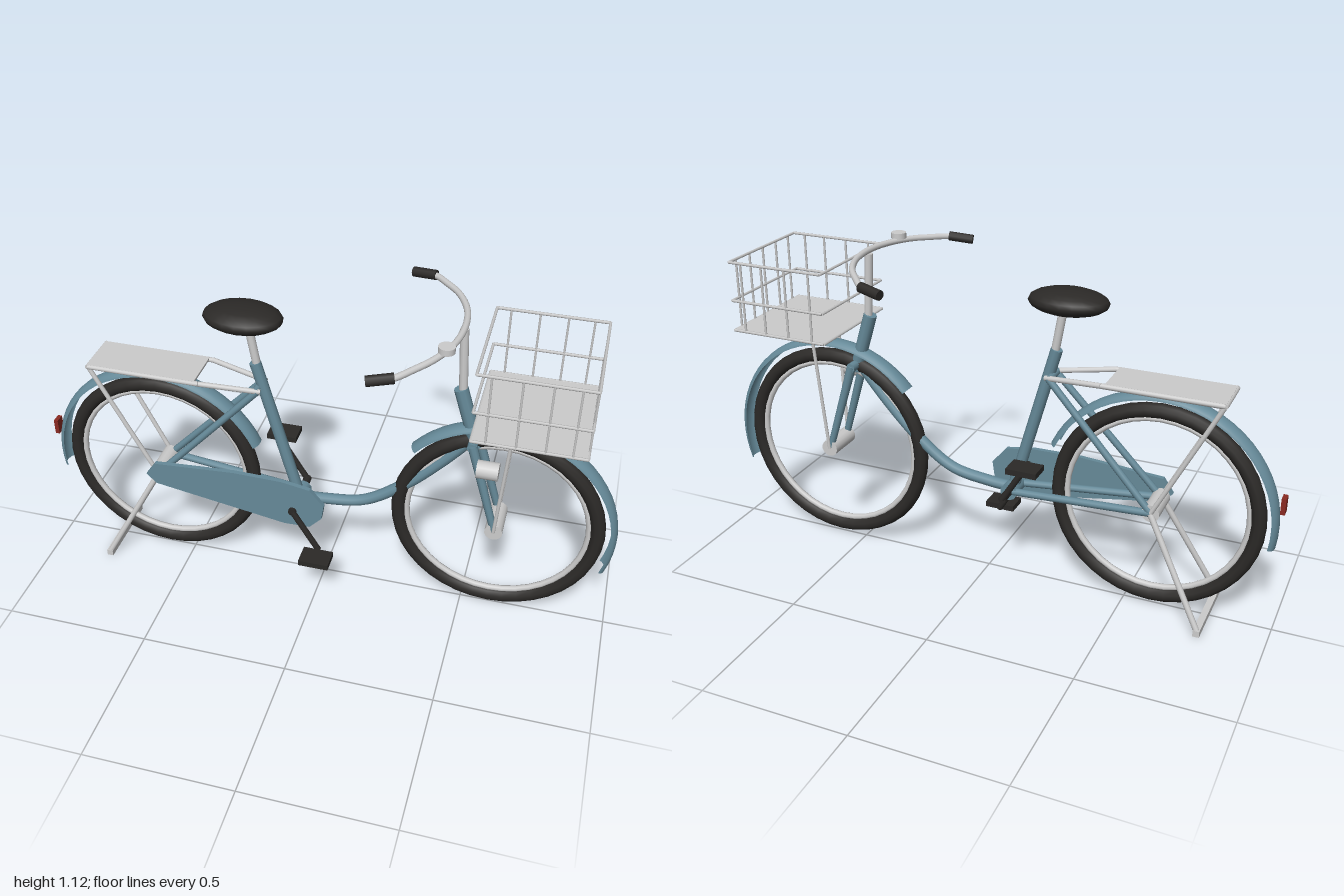
import * as THREE from 'three';

const mat = (color, side = THREE.FrontSide) => new THREE.MeshStandardMaterial({ color, side });
const V = (x, y, z = 0) => new THREE.Vector3(x, y, z);

export function createModel() {
  const model = new THREE.Group();
  model.name = 'bicycle';
  const metal = mat(0xcccccc), paint = mat(0x668a99), dark = mat(0x2b2927), red = mat(0x8a2a22);
  const mudguardPaint = mat(0x668a99, THREE.DoubleSide);

  const add = (name, geometry, material, pos = V(0, 0), parent = model) => {
    const mesh = new THREE.Mesh(geometry, material);
    mesh.name = name;
    mesh.position.copy(pos);
    parent.add(mesh);
    return mesh;
  };
  // straight round bar between two points
  const bar = (name, a, b, r, material, parent = model, rEnd = r, sides = 10) => {
    const mesh = add(name, new THREE.CylinderGeometry(rEnd, r, a.distanceTo(b), sides), material,
      a.clone().lerp(b, 0.5), parent);
    mesh.quaternion.setFromUnitVectors(V(0, 1), b.clone().sub(a).normalize());
    return mesh;
  };
  const tube = (name, points, r, material, segments = 32) =>
    add(name, new THREE.TubeGeometry(new THREE.CatmullRomCurve3(points), segments, r, 10), material);
  const box = (name, w, h, d, material, pos, parent = model) =>
    add(name, new THREE.BoxGeometry(w, h, d), material, pos, parent);

  const rear = V(-0.59, 0.37), front = V(0.595, 0.37), crank = V(-0.09, 0.33);

  // wheels and mudguards
  const wheel = (name, c, from, to) => {
    const g = new THREE.Group();
    g.name = name + 'Wheel';
    g.position.copy(c);
    model.add(g);
    add('tyre', new THREE.TorusGeometry(0.334, 0.025, 10, 40), dark, V(0, 0), g);
    add('rim', new THREE.TorusGeometry(0.306, 0.011, 8, 40), metal, V(0, 0), g);
    bar('hub', V(0, 0, -0.065), V(0, 0, 0.065), 0.03, metal, g, 0.03, 14);
    const profile = [];
    for (let i = 0; i <= 8; i++) {
      const a = (i / 8 - 0.5) * Math.PI;
      profile.push(new THREE.Vector2(0.377 + 0.02 * Math.cos(a), 0.032 * Math.sin(a)));
    }
    const start = THREE.MathUtils.degToRad(from), sweep = THREE.MathUtils.degToRad(to - from);
    const guard = new THREE.LatheGeometry(profile, 28, start + Math.PI / 2, sweep).rotateX(Math.PI / 2);
    add(name + 'Mudguard', guard, mudguardPaint, V(0, 0), g);
  };
  wheel('rear', rear, 24, 190);
  wheel('front', front, -19, 139);

  // main frame
  bar('seatTube', crank, V(-0.235, 0.855), 0.02, paint);
  tube('downTube', [V(0.49, 0.69), V(0.38, 0.56), V(0.27, 0.45), V(0.14, 0.36), V(0, 0.335), crank], 0.02, paint);
  bar('headTube', V(0.505, 0.665), V(0.44, 0.875), 0.023, paint);
  bar('bottomBracket', V(crank.x, crank.y, -0.045), V(crank.x, crank.y, 0.045), 0.03, paint);
  bar('forkCrown', V(0.497, 0.69, -0.055), V(0.497, 0.69, 0.055), 0.016, paint);
  bar('seatStayBridge', V(-0.225, 0.765, -0.04), V(-0.225, 0.765, 0.04), 0.012, paint);

  // paired frame members, stand, rack rails and basket stays
  for (const s of [-1, 1]) {
    bar('forkBlade', V(0.595, 0.37, s * 0.055), V(0.497, 0.695, s * 0.045), 0.012, paint, model, 0.016);
    bar('seatStay', V(-0.59, 0.37, s * 0.06), V(-0.22, 0.765, s * 0.035), 0.012, paint);
    bar('chainStay', V(-0.59, 0.37, s * 0.06), V(crank.x, crank.y, s * 0.035), 0.013, paint);
    bar('standLeg', V(-0.59, 0.37, s * 0.065), V(-0.785, 0.015, s * 0.13), 0.01, metal);
    bar('rackStrut', V(-0.59, 0.37, s * 0.065), V(-0.8, 0.787, s * 0.075), 0.008, metal);
    bar('rackRail', V(-0.8, 0.787, s * 0.075), V(-0.41, 0.787, s * 0.075), 0.009, metal);
    bar('rackArm', V(-0.41, 0.787, s * 0.075), V(-0.21, 0.765, s * 0.035), 0.009, metal);
    bar('basketStay', V(0.595, 0.37, s * 0.065), V(0.625, 0.825, s * 0.088), 0.006, metal);
  }
  box('standFoot', 0.022, 0.022, 0.28, metal, V(-0.785, 0.011));
  box('rackPlate', 0.38, 0.008, 0.155, metal, V(-0.613, 0.792));
  bar('rackEnd', V(-0.8, 0.787, -0.08), V(-0.8, 0.787, 0.08), 0.009, metal);
  box('rearLight', 0.015, 0.055, 0.035, red, V(-0.9925, 0.46));

  // saddle
  bar('seatPost', V(-0.228, 0.84), V(-0.255, 1.0), 0.014, metal);
  add('saddle', new THREE.SphereGeometry(1, 20, 10).scale(0.133, 0.042, 0.092), dark, V(-0.27, 1.02));

  // chain case
  const outline = [[-0.625, 0.38], [-0.59, 0.43], [-0.3, 0.45], [-0.13, 0.447], [-0.03, 0.43], [0.02, 0.37],
    [0.012, 0.315], [-0.03, 0.27], [-0.12, 0.267], [-0.59, 0.345]].map(p => new THREE.Vector2(...p));
  add('chainCase', new THREE.ExtrudeGeometry(new THREE.Shape(outline), { depth: 0.016, bevelEnabled: false }),
    paint, V(0, 0, 0.073));

  // cranks and pedals
  bar('crankAxle', V(crank.x, crank.y, -0.1), V(crank.x, crank.y, 0.1), 0.014, dark);
  for (const s of [-1, 1]) {
    const end = V(crank.x + s * 0.0925, crank.y - s * 0.152, s * 0.094);
    bar('crankArm', V(crank.x, crank.y, s * 0.094), end, 0.011, dark);
    box('pedal', 0.105, 0.02, 0.075, dark, V(end.x + s * 0.004, end.y, s * 0.142));
    bar('pedalSpindle', end, V(end.x, end.y, s * 0.16), 0.008, dark);
  }

  // stem, handlebar, grips and bell
  bar('stem', V(0.448, 0.86), V(0.435, 1.09), 0.014, metal);
  const half = [[0.425, 1.098, 0.1], [0.385, 1.095, 0.195], [0.335, 1.09, 0.26], [0.28, 1.084, 0.317], [0.22, 1.077, 0.333]];
  const side = s => half.map(([x, y, z]) => V(x, y, s * z));
  tube('handlebar', [...side(-1).reverse(), V(0.437, 1.1), ...side(1)], 0.0105, metal, 48);
  for (const s of [-1, 1])
    bar('grip', V(0.29, 1.086, s * 0.313), V(0.21, 1.076, s * 0.336), 0.0165, dark);
  add('bell', new THREE.CylinderGeometry(0.026, 0.026, 0.02, 16), metal, V(0.41, 1.113, 0.165));

  // headlamp beside the front wheel
  bar('headlamp', V(0.522, 0.635, 0.08), V(0.592, 0.635, 0.08), 0.03, metal, model, 0.03, 16);
  bar('lampBracket', V(0.53, 0.635, 0.045), V(0.53, 0.635, 0.08), 0.008, metal);

  // wire basket, open at the back between the rails
  const basket = new THREE.Group();
  basket.name = 'basket';
  model.add(basket);
  const x0 = 0.506, x1 = 0.855, zs = 0.198, yLow = 0.825, yTop = 1.063;
  box('basketFloor', x1 - x0, 0.008, zs * 2, metal, V((x0 + x1) / 2, yLow), basket);
  for (const y of [yLow, 0.93, yTop]) {
    for (const s of [-1, 1]) bar('sideRail', V(x0, y, s * zs), V(x1, y, s * zs), 0.005, metal, basket, 0.005, 6);
    for (const x of [x0, x1]) bar('crossRail', V(x, y, -zs), V(x, y, zs), 0.005, metal, basket, 0.005, 6);
  }
  const wire = (x, z) => bar('basketWire', V(x, yLow, z), V(x, yTop, z), 0.004, metal, basket, 0.004, 6);
  for (const z of [-0.157, -0.079, 0, 0.079, 0.157]) wire(x1, z);
  for (const x of [0.551, 0.642, 0.73, 0.81]) for (const s of [-1, 1]) wire(x, s * zs);

  return model;
}
